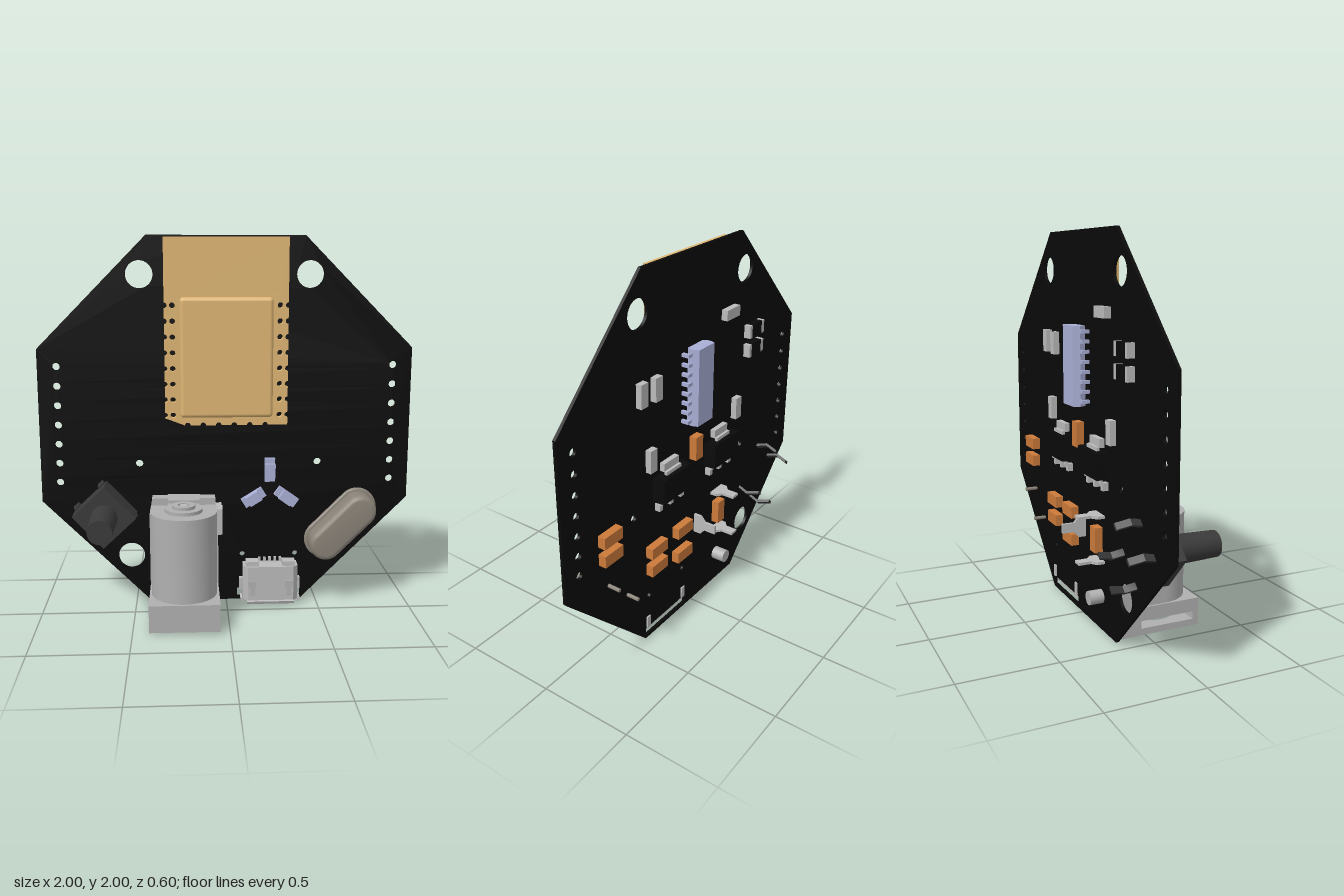
import * as THREE from 'three';
import { toCreasedNormals } from 'three/addons/utils/BufferGeometryUtils.js';
import { RoundedBoxGeometry } from 'three/addons/geometries/RoundedBoxGeometry.js';

const FRONT = -0.156, BACK = -0.172; // board faces
const mats = {};
const mat = (c) => (mats[c] ??= new THREE.MeshStandardMaterial({ color: c }));
const BLACK = 0x0a0a0a, TAN = 0xdeb573, METAL = 0xbababa, GREY = 0xb0b0b0, DARK = 0x3a3a3a;
const LILAC = 0xa9afd6, ORANGE = 0xcc7a3a, CAN = 0x8a8378;

function add(parent, name, geo, color, x = 0, y = 0, z = 0) {
  const m = new THREE.Mesh(geo, mat(color));
  m.name = name;
  m.position.set(x, y, z);
  parent.add(m);
  return m;
}
function group(parent, name, x = 0, y = 0, z = 0, turn = 0) {
  const g = new THREE.Group();
  g.name = name;
  g.position.set(x, y, z);
  g.rotation.z = turn;
  parent.add(g);
  return g;
}
// box given by its limits
const box = (p, name, c, x0, x1, y0, y1, z0, z1) =>
  add(p, name, new THREE.BoxGeometry(x1 - x0, y1 - y0, z1 - z0), c, (x0 + x1) / 2, (y0 + y1) / 2, (z0 + z1) / 2);
const poly = (pts) => new THREE.Shape(pts.map(([x, y]) => new THREE.Vector2(x, y)));
const rect = (x0, x1, y0, y1) => poly([[x0, y0], [x1, y0], [x1, y1], [x0, y1]]);
const circle = (x, y, r) => new THREE.Path().absarc(x, y, r, 0, Math.PI * 2, true);
const extrude = (shape, depth, bevel = 0) => toCreasedNormals(new THREE.ExtrudeGeometry(shape, {
  depth: depth - 2 * bevel, bevelEnabled: bevel > 0, bevelSize: bevel, bevelThickness: bevel,
  bevelOffset: -bevel, bevelSegments: 3, curveSegments: 16,
}).translate(0, 0, bevel), 0.6);
// extrusion along y; the shape is drawn in (x, -z)
const upright = (p, name, c, shape, y0, y1) => add(p, name, extrude(shape, y1 - y0).rotateX(-Math.PI / 2), c, 0, y0, 0);
const cyl = (r0, r1, h, n = 32) => new THREE.CylinderGeometry(r0, r1, h, n);
function capsule(half, r) {
  const s = new THREE.Shape();
  s.absarc(half, 0, r, -Math.PI / 2, Math.PI / 2);
  s.absarc(-half, 0, r, Math.PI / 2, Math.PI * 1.5);
  return s;
}

function board(root) {
  const s = poly([[-0.417, 0], [0.417, 0], [1, 0.585], [1, 1.413], [0.417, 2], [-0.417, 2], [-1, 1.413], [-1, 0.585]]);
  for (const [x, y] of [[-0.455, 1.8], [0.445, 1.8], [-0.522, 0.268]]) s.holes.push(circle(x, y, 0.072));
  for (const x of [-0.9, 0.9]) for (let i = 0; i < 7; i++) s.holes.push(circle(x, 0.69 + i * 0.105, 0.02));
  for (const x of [-0.47, 0.5]) s.holes.push(circle(x, 0.79, 0.02));
  for (const x of [0.09, 0.385]) s.holes.push(circle(x, 0.265, 0.015));
  s.holes.push(rect(-0.05, -0.02, 0.43, 0.55), rect(0.062, 0.415, 0.018, 0.065));
  add(root, 'circuitBoard', extrude(s, FRONT - BACK), BLACK, 0, 0, BACK);
}

function radioModule(root) {
  const g = group(root, 'radioModule'), r = 0.015, H = Math.PI / 2;
  const ys = Array.from({ length: 8 }, (_, i) => 1.06 + i * 0.083);
  // outline with half-round notches along three edges
  const s = new THREE.Shape().moveTo(-0.327, 1.005);
  for (let i = 0; i < 6; i++) s.absarc(-0.207 + i * 0.083, 1.005, r, Math.PI, 0, true);
  s.lineTo(0.327, 1.005);
  for (const y of ys) s.absarc(0.327, y, r, -H, H, true);
  s.lineTo(0.327, 1.99).lineTo(-0.327, 1.99);
  for (const y of [...ys].reverse()) s.absarc(-0.327, y, r, H, -H, true);
  for (const y of ys) s.holes.push(circle(-0.284, y, r), circle(0.284, y, r));
  add(g, 'modulePlate', extrude(s, 0.04), TAN, 0, 0, FRONT);
  add(g, 'shieldLid', new RoundedBoxGeometry(0.485, 0.625, 0.1, 3, 0.02), TAN, -0.002, 1.372, -0.083);
  box(g, 'moduleChip', TAN, 0.21, 0.272, 1.71, 1.742, -0.118, -0.096);
}

function pushButton(root) {
  const g = group(root, 'pushButton', -0.657, 0.527, 0, 0.75);
  box(g, 'buttonBody', DARK, -0.12, 0.12, -0.12, 0.12, FRONT, -0.015);
  add(g, 'plunger', cyl(0.064, 0.072, 0.25).rotateX(Math.PI / 2), DARK, 0, 0, 0.11);
  // kinked legs, profile in (y, z)
  const leg = poly([[0.118, -0.11], [0.125, -0.17], [0.145, -0.23], [0.122, -0.3], [0.137, -0.3], [0.16, -0.23], [0.14, -0.17], [0.133, -0.11]]);
  const geo = extrude(leg, 0.036).applyMatrix4(new THREE.Matrix4().makeBasis(
    new THREE.Vector3(0, 1, 0), new THREE.Vector3(0, 0, 1), new THREE.Vector3(1, 0, 0)));
  for (const turn of [0, Math.PI]) {
    const pair = group(g, 'buttonLegs', 0, 0, 0, turn);
    for (const x of [-0.09, 0.09]) add(pair, 'buttonLeg', geo, DARK, x - 0.018, 0, 0);
  }
}

function powerJack(root) {
  const g = group(root, 'powerJack'), cx = -0.233, cz = 0.11;
  // base with side slot and round socket opening
  for (const [y0, y1] of [[0.01, 0.045], [0.085, 0.155]]) {
    const s = rect(-0.415, -0.05, -0.295, -FRONT);
    s.holes.push(circle(cx, -cz, 0.12));
    upright(g, 'jackBase', GREY, s, y0, y1);
  }
  box(g, 'jackBaseFront', GREY, -0.415, -0.05, 0.045, 0.085, 0.262, 0.295);
  box(g, 'jackBaseBack', GREY, -0.415, -0.05, 0.045, 0.085, FRONT, -0.03);
  add(g, 'centrePin', cyl(0.035, 0.035, 0.12), METAL, cx, 0.11, cz);
  // barrel with flat sides running back to the board
  const u = new THREE.Shape().moveTo(cx + 0.172, -FRONT).lineTo(cx - 0.172, -FRONT);
  u.absarc(cx, -cz, 0.172, Math.PI, Math.PI * 2);
  upright(g, 'jackBarrel', GREY, u, 0.155, 0.598);
  box(g, 'jackBody', GREY, -0.415, -0.05, 0.155, 0.545, FRONT, -0.005);
  for (const x of [-0.4, -0.148]) box(g, 'jackLug', GREY, x, x + 0.083, 0.56, 0.635, -0.07, 0.0);
  box(g, 'jackBridge', GREY, -0.32, -0.145, 0.59, 0.615, FRONT, -0.03);
  box(g, 'sideContact', METAL, -0.06, -0.028, 0.43, 0.57, -0.14, -0.0);
  add(g, 'topDisc', cyl(0.098, 0.098, 0.02), GREY, cx, 0.606, cz);
  const ring = new THREE.Shape().absarc(cx, -cz, 0.06, 0, Math.PI * 2);
  ring.holes.push(circle(cx, -cz, 0.03));
  upright(g, 'topRing', GREY, ring, 0.61, 0.632);
  add(g, 'rivet', cyl(0.022, 0.022, 0.02), METAL, cx, 0.62, cz);
  // solder blades and locating peg
  const blade = poly([[-0.055, 0.15], [0.055, 0.15], [0.055, 0.21], [0.025, 0.235], [0.025, 0.3], [-0.025, 0.3], [-0.025, 0.235], [-0.055, 0.21]]);
  for (const y of [0.605, 0.37]) upright(g, 'solderBlade', METAL, blade, y - 0.007, y + 0.007).position.x = cx;
  const side = group(g, 'sideBlade', -0.035, 0.49, 0, Math.PI / 2);
  upright(side, 'solderBlade', METAL, blade, -0.007, 0.007);
  add(g, 'locatingPeg', cyl(0.036, 0.036, 0.1, 20).rotateX(Math.PI / 2), GREY, -0.245, 0.18, -0.195);
}

function crystal(root) {
  const g = group(root, 'crystal', 0.63, 0.445, 0, Math.PI / 4);
  add(g, 'crystalFlange', extrude(capsule(0.13, 0.105), 0.028, 0.008), CAN, 0, 0, FRONT);
  add(g, 'crystalCan', extrude(capsule(0.13, 0.088), 0.14, 0.025), CAN, 0, 0, FRONT);
  for (const x of [-0.1, 0.1]) add(g, 'crystalPin', cyl(0.01, 0.01, 0.1, 10).rotateX(Math.PI / 2), CAN, x, 0, -0.19);
}

function dataSocket(root) {
  const g = group(root, 'dataSocket');
  // hollow shell opening downwards
  const outer = poly([[0.09, 0.15], [0.39, 0.15], [0.39, 0.075], [0.365, 0.047], [0.115, 0.047], [0.09, 0.075]]);
  const ringShape = outer.clone();
  ringShape.holes.push(poly([[0.104, 0.138], [0.376, 0.138], [0.376, 0.08], [0.36, 0.06], [0.12, 0.06], [0.104, 0.08]]));
  upright(g, 'socketShell', METAL, ringShape, 0.03, 0.18);
  upright(g, 'socketRear', METAL, outer, 0.18, 0.225);
  box(g, 'socketTongue', GREY, 0.15, 0.33, 0.05, 0.18, -0.105, -0.085);
  // flared lips, side wings, springs and rear contacts
  box(g, 'frontLip', METAL, 0.11, 0.37, 0.015, 0.032, -0.052, -0.04).rotation.x = 0.4;
  for (const s of [-1, 1]) {
    const x = 0.24 + s * 0.155;
    box(g, 'sideLip', METAL, x - 0.006, x + 0.006, 0.015, 0.04, -0.14, -0.07).rotation.z = -s * 0.4;
    box(g, 'mountWing', METAL, x - 0.014, x + 0.014, 0.07, 0.135, -0.18, -0.125);
    const k = 0.24 + s * 0.1;
    box(g, 'springStem', GREY, k - 0.012, k + 0.012, 0.06, 0.11, -0.05, -0.043);
    box(g, 'springHead', GREY, k - 0.022, k + 0.022, 0.11, 0.145, -0.05, -0.042);
    box(g, 'rearHook', METAL, k - 0.035, k + 0.035, 0.22, 0.25, -0.125, -0.06);
  }
  for (let i = 0; i < 5; i++) box(g, 'socketContact', METAL, 0.177 + i * 0.029, 0.191 + i * 0.029, 0.2, 0.248, FRONT, -0.135);
}

function lights(root) {
  for (const [x, y, turn] of [[0.238, 0.75, Math.PI / 2], [0.15, 0.595, 0.56], [0.33, 0.597, -0.62]]) {
    const g = group(root, 'indicatorLight', x, y, 0, turn);
    box(g, 'lightBase', LILAC, -0.065, 0.065, -0.028, 0.028, FRONT, -0.13);
    box(g, 'lightLens', LILAC, -0.038, 0.038, -0.028, 0.028, -0.13, -0.1);
  }
}

// parts soldered to the back
function backParts(root) {
  const chip = (name, c, x, y, w, h, d = 0.042) => box(root, name, c, x - w / 2, x + w / 2, y - h / 2, y + h / 2, BACK - d, BACK);
  for (const [x, y] of [[0.44, 1.42], [0.33, 1.415], [0.374, 1.057], [-0.39, 1.05]]) chip('resistor', METAL, x, y, 0.052, 0.12, 0.032);
  chip('resistor', METAL, -0.3, 1.61, 0.12, 0.055, 0.035);
  for (const y of [1.456, 1.35]) {
    chip('darkResistor', BLACK, -0.54, y, 0.1, 0.07, 0.036);
    for (const x of [-0.6, -0.48]) chip('resistorEnd', METAL, x, y, 0.022, 0.07, 0.038);
  }
  for (const [x, y] of [[0.7, 0.8], [0.7, 0.7], [0.34, 0.54], [0.34, 0.435], [0.115, 0.54], [0.115, 0.39]]) chip('capacitor', ORANGE, x, y, 0.13, 0.062);
  for (const [x, y] of [[0, 0.975], [-0.23, 0.48]]) chip('capacitor', ORANGE, x, y, 0.062, 0.13);
  // logic chip with gull-wing pins
  const ic = group(root, 'logicChip', 0, 1.33);
  const body = poly([[-0.065, 0.178], [0.065, 0.178], [0.078, 0.21], [0.065, 0.245], [-0.065, 0.245], [-0.078, 0.21]]);
  upright(ic, 'chipBody', LILAC, body, -0.202, 0.202);
  for (const s of [-1, 1]) for (let i = 0; i < 8; i++) {
    const y = (i - 3.5) * 0.05, x = s * 0.085;
    box(ic, 'chipPin', LILAC, x - 0.015, x + 0.015, y - 0.009, y + 0.009, -0.214, -0.204);
    box(ic, 'chipPinFoot', LILAC, x + s * 0.015 - 0.008, x + s * 0.015 + 0.008, y - 0.009, y + 0.009, -0.214, BACK);
  }
  // voltage regulators
  for (const x of [-0.225, 0.225]) {
    const g = group(root, 'regulator', x, 0.875);
    upright(g, 'regulatorBody', BLACK, poly([[-0.125, 0.175], [0.125, 0.175], [0.115, 0.24], [-0.115, 0.24]]), -0.066, 0.066);
    box(g, 'regulatorTab', METAL, -0.06, 0.06, 0.06, 0.085, -0.215, -0.2);
    box(g, 'regulatorTabFoot', METAL, -0.06, 0.06, 0.08, 0.125, -0.2, BACK);
    for (const k of [-0.09, 0, 0.09]) {
      box(g, 'regulatorPin', METAL, k - 0.014, k + 0.014, -0.09, -0.06, -0.212, -0.2);
      box(g, 'regulatorPinFoot', METAL, k - 0.014, k + 0.014, -0.125, -0.085, -0.202, BACK);
    }
  }
}

export function createModel() {
  const root = new THREE.Group();
  root.name = 'controllerBoard';
  for (const build of [board, radioModule, pushButton, powerJack, crystal, dataSocket, lights, backParts]) build(root);
  return root;
}
